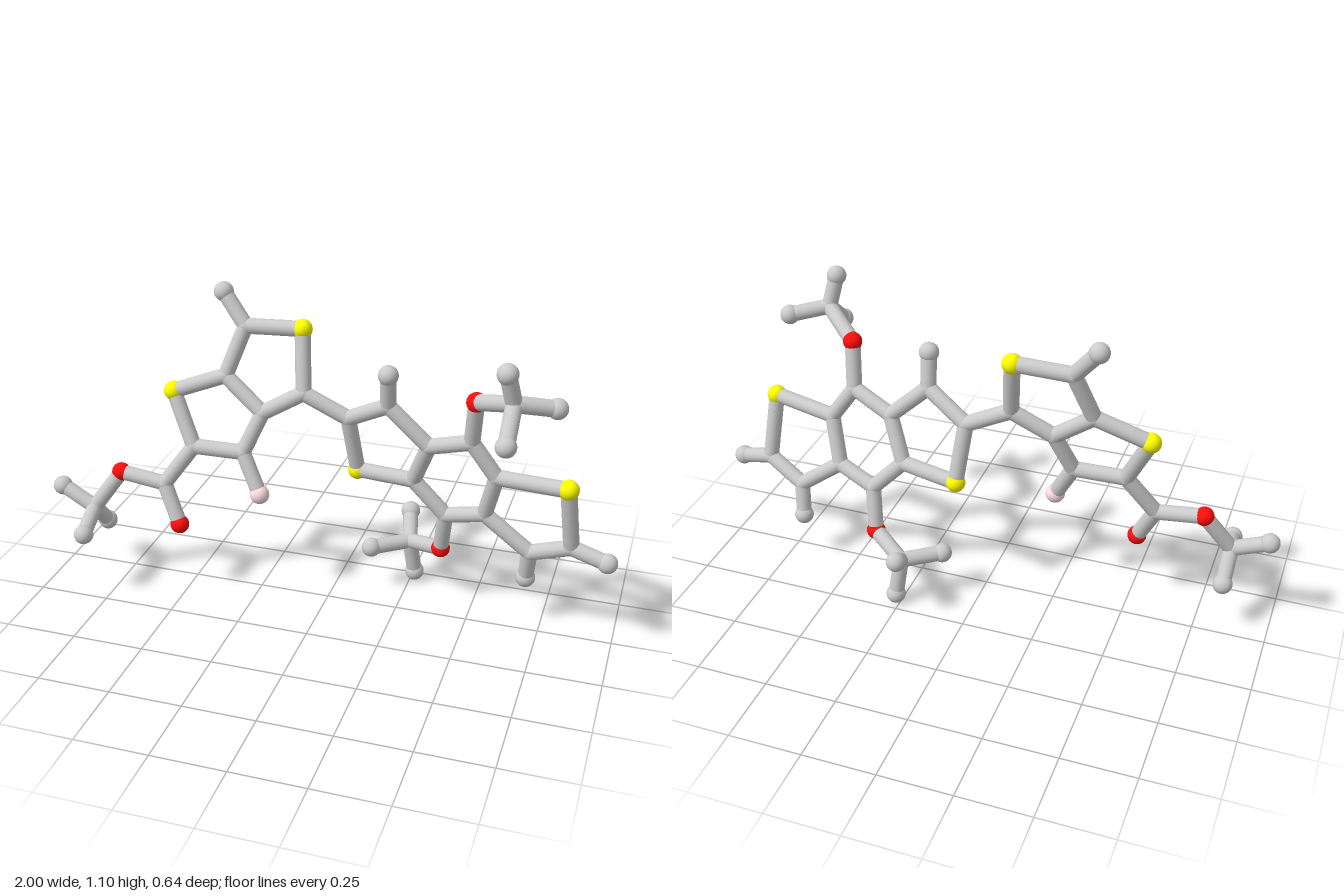
import * as THREE from 'three';

const BOND_RADIUS = 0.027;
const KINDS = {
  joint: { radius: 0.028, color: 0xcccccc },
  endBall: { radius: 0.034, color: 0xcccccc },
  yellowBall: { radius: 0.034, color: 0xffff00 },
  redBall: { radius: 0.033, color: 0xff0d0d },
  pinkBall: { radius: 0.034, color: 0xffdde0 },
};

// The two flat ring systems each lie in their own tilted plane
const leftPlane = (x, y) => -0.028 * x - 0.272 * y + 0.16;
const rightPlane = (x, y) => 0.181 * x + 0.226 * y - 0.217;

// Atoms: [kind, x, y, z]; z is taken from the plane when left out
const leftAtoms = {
  a1: ['joint', -0.32, 0.96], a2: ['yellowBall', -0.12, 0.968], a3: ['joint', -0.10, 0.76],
  a4: ['joint', -0.24, 0.68], a5: ['joint', -0.38, 0.79], a6: ['yellowBall', -0.565, 0.72],
  a7: ['joint', -0.48, 0.54], a8: ['joint', -0.30, 0.54],
  tipTop: ['endBall', -0.405, 1.065], tipPink: ['pinkBall', -0.23, 0.405],
  // side chain
  s1: ['joint', -0.58, 0.40], s2: ['redBall', -0.515, 0.265], s3: ['redBall', -0.745, 0.42],
  s4: ['joint', -0.84, 0.285], s5: ['endBall', -0.967, 0.345],
  s6: ['endBall', -0.825, 0.242, 0.235], s7: ['endBall', -0.835, 0.19, 0.025],
};
const rightAtoms = {
  b1: ['joint', 0.055, 0.685], b2: ['yellowBall', 0.078, 0.475], b3: ['joint', 0.285, 0.485],
  b4: ['joint', 0.345, 0.64], b5: ['joint', 0.205, 0.77], b6: ['joint', 0.495, 0.695],
  b7: ['joint', 0.58, 0.575], b8: ['joint', 0.54, 0.41], b9: ['joint', 0.40, 0.365],
  b10: ['yellowBall', 0.82, 0.59], b11: ['joint', 0.84, 0.355], b12: ['joint', 0.70, 0.29],
  tip5: ['endBall', 0.21, 0.89], tip11: ['endBall', 0.962, 0.325], tip12: ['endBall', 0.688, 0.175],
  // upper branch
  u1: ['redBall', 0.51, 0.855], u2: ['joint', 0.645, 0.915, 0.18],
  u3: ['endBall', 0.625, 1.022, 0.21], u4: ['endBall', 0.77, 0.89, 0.12],
  u5: ['endBall', 0.645, 0.82, 0.287],
  // lower branch
  l1: ['redBall', 0.38, 0.21], l2: ['joint', 0.25, 0.17, -0.187],
  l3: ['endBall', 0.226, 0.237, -0.286], l4: ['endBall', 0.265, 0.035, -0.208],
  l5: ['endBall', 0.13, 0.17, -0.10],
};

// Chains of bonded atoms; consecutive names are joined
const chains = {
  leftRings: 'a1 a2 a3 a4 a5 a1 tipTop,a5 a6 a7 a8 a4,a8 tipPink',
  leftSideChain: 'a7 s1 s3 s4 s5,s1 s2,s6 s4 s7',
  bridge: 'a3 b1',
  rightRings: 'b1 b2 b3 b4 b5 b1,b5 tip5,b4 b6 b7 b8 b9 b3,b7 b10 b11 b12 b8,b11 tip11,b12 tip12',
  upperBranch: 'b6 u1 u2 u3,u4 u2 u5',
  lowerBranch: 'b9 l1 l2 l3,l4 l2 l5',
};

export function createModel() {
  const model = new THREE.Group();
  model.name = 'stickMolecule';
  const points = {};
  const materials = {}, spheres = {};
  for (const [kind, { radius, color }] of Object.entries(KINDS)) {
    materials[kind] = new THREE.MeshStandardMaterial({ color });
    spheres[kind] = new THREE.SphereGeometry(radius, 24, 16);
  }

  // Balls and rounded joints
  const balls = new THREE.Group();
  balls.name = 'atoms';
  model.add(balls);
  const addAtoms = (atoms, plane) => {
    for (const [id, [kind, x, y, z = plane(x, y)]] of Object.entries(atoms)) {
      points[id] = new THREE.Vector3(x, y, z);
      const ball = new THREE.Mesh(spheres[kind], materials[kind]);
      ball.name = kind;
      ball.position.copy(points[id]);
      balls.add(ball);
    }
  };
  addAtoms(leftAtoms, leftPlane);
  addAtoms(rightAtoms, rightPlane);

  // Sticks between neighbouring atoms
  const up = new THREE.Vector3(0, 1, 0);
  const addBond = (group, a, b) => {
    const dir = b.clone().sub(a);
    const stick = new THREE.Mesh(
      new THREE.CylinderGeometry(BOND_RADIUS, BOND_RADIUS, dir.length(), 16, 1, true),
      materials.joint
    );
    stick.name = 'bond';
    stick.position.copy(a).add(b).multiplyScalar(0.5);
    stick.quaternion.setFromUnitVectors(up, dir.normalize());
    group.add(stick);
  };
  for (const [name, text] of Object.entries(chains)) {
    const group = new THREE.Group();
    group.name = name;
    for (const chain of text.split(',')) {
      const ids = chain.split(' ');
      for (let i = 1; i < ids.length; i++) addBond(group, points[ids[i - 1]], points[ids[i]]);
    }
    model.add(group);
  }
  return model;
}
